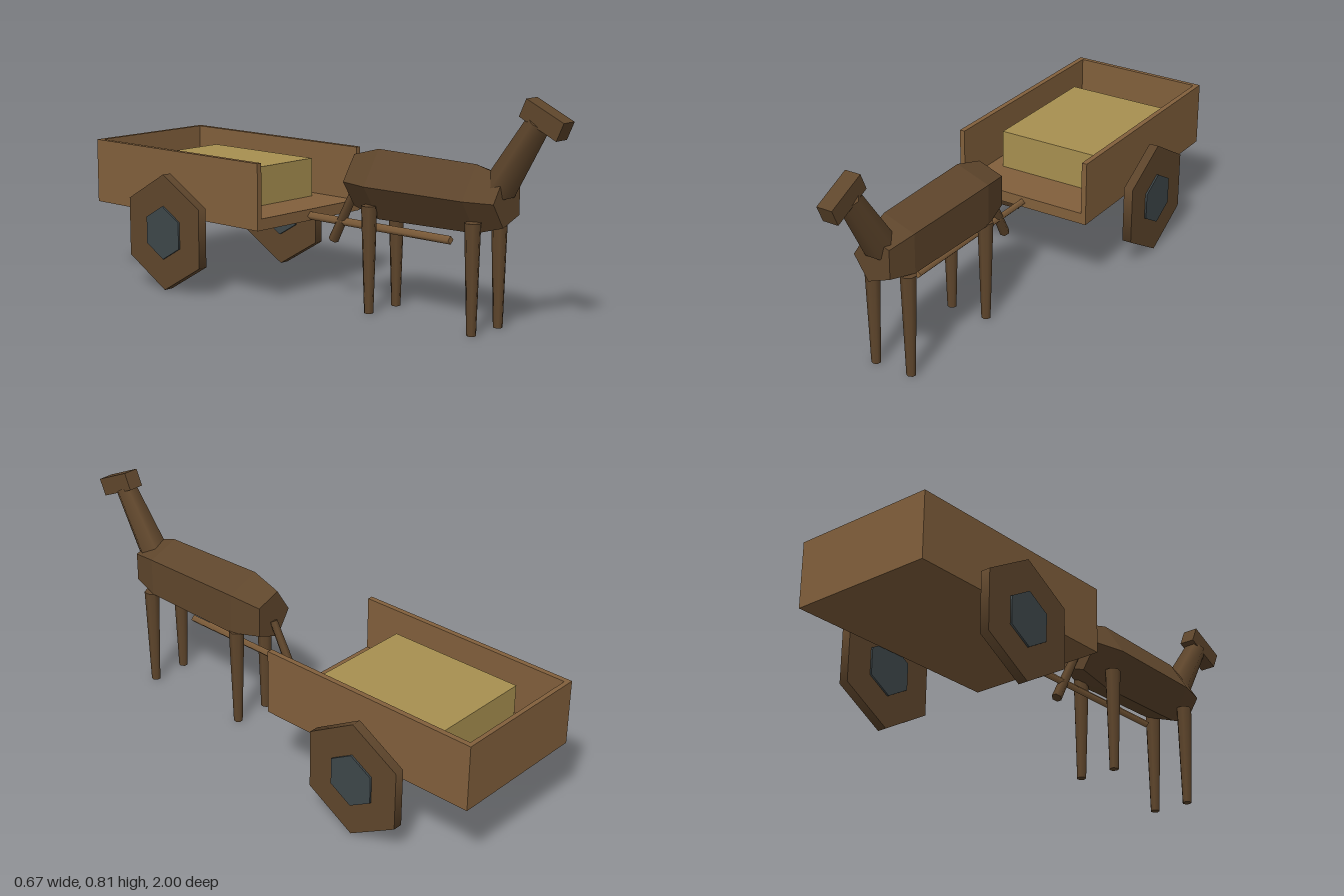
import * as THREE from 'three';

const mat = (name, color) => {
  const m = new THREE.MeshStandardMaterial({ color });
  m.name = name;
  return m;
};

export function createModel() {
  const root = new THREE.Group();
  root.name = 'horseAndCart';
  const hide = mat('darkBrownWood', 0x5f462c);
  const wood = mat('cartWood', 0x82603c);
  const straw = mat('straw', 0xa89050);
  const iron = mat('hubIron', 0x3e474a);

  const add = (parent, name, geo, material, x = 0, y = 0, z = 0) => {
    const m = new THREE.Mesh(geo, material);
    m.name = name;
    m.position.set(x, y, z);
    parent.add(m);
    return m;
  };
  // box given by its minimum and maximum corners
  const box = (parent, name, a, b, material) => add(parent, name,
    new THREE.BoxGeometry(b[0] - a[0], b[1] - a[1], b[2] - a[2]), material,
    (a[0] + b[0]) / 2, (a[1] + b[1]) / 2, (a[2] + b[2]) / 2);
  // tapered rod between two points in the x = 0 plane, given as [y, z]
  const rod = (parent, name, a, b, ra, rb, sides, start, material) => {
    const dy = b[0] - a[0], dz = b[1] - a[1];
    const m = add(parent, name,
      new THREE.CylinderGeometry(rb, ra, Math.hypot(dy, dz), sides, 1, false, start),
      material, 0, (a[0] + b[0]) / 2, (a[1] + b[1]) / 2);
    m.rotation.x = Math.atan2(dz, dy);
    return m;
  };

  // Cart: open at the front, loaded with straw
  const cart = new THREE.Group();
  cart.name = 'cart';
  root.add(cart);
  box(cart, 'cartFloor', [-0.273, 0.275, -1], [0.273, 0.317, -0.125], wood);
  box(cart, 'rightWall', [-0.273, 0.317, -1], [-0.253, 0.518, -0.125], wood);
  box(cart, 'leftWall', [0.253, 0.317, -1], [0.273, 0.518, -0.125], wood);
  box(cart, 'backWall', [-0.253, 0.317, -1], [0.253, 0.518, -0.983], wood);
  box(cart, 'strawLoad', [-0.2, 0.317, -0.83], [0.2, 0.463, -0.305], straw);
  rod(cart, 'shaft', [0.293, -0.13], [0.293, 0.53], 0.015, 0.015, 4, 0, wood);

  // Six-sided wheels standing on a corner, with hubs
  for (const s of [-1, 1]) {
    const side = s > 0 ? 'left' : 'right';
    for (const [part, r, w, m] of [['Wheel', 0.218, 0.036, hide], ['Hub', 0.1, 0.05, iron]]) {
      const g = new THREE.CylinderGeometry(r, r, w, 6, 1, false, Math.PI / 6);
      g.rotateZ(Math.PI / 2);
      add(cart, side + part, g, m, s * 0.31, 0.218, -0.562);
    }
  }

  // Horse
  const horse = new THREE.Group();
  horse.name = 'horse';
  root.add(horse);

  // Five-sided body with bevelled ends
  const profile = [[0, 0.113], [0.085, 0.113], [0.115, 0.235], [0.108, 0.66], [0.08, 0.768], [0, 0.768]]
    .map(([r, z]) => new THREE.Vector2(r, z));
  const bodyGeo = new THREE.LatheGeometry(profile, 5, -Math.PI / 2)
    .rotateX(Math.PI / 2).scale(1, 1.14, 1).toNonIndexed();
  bodyGeo.computeVertexNormals();
  add(horse, 'body', bodyGeo, hide, 0, 0.457, 0);

  rod(horse, 'neck', [0.495, 0.73], [0.73, 0.885], 0.058, 0.042, 6, Math.PI / 6, hide);
  const head = add(horse, 'head', new THREE.BoxGeometry(0.06, 0.067, 0.162), hide, 0, 0.744, 0.914);
  head.rotation.x = 0.43;
  rod(horse, 'tail', [0.44, 0.108], [0.219, -0.01], 0.015, 0.019, 6, Math.PI / 6, hide);

  for (const [end, z] of [['front', 0.68], ['back', 0.225]]) {
    for (const s of [-1, 1]) {
      add(horse, end + (s > 0 ? 'Left' : 'Right') + 'Leg',
        new THREE.CylinderGeometry(0.029, 0.017, 0.385, 7), hide, s * 0.074, 0.1925, z);
    }
  }
  return root;
}
